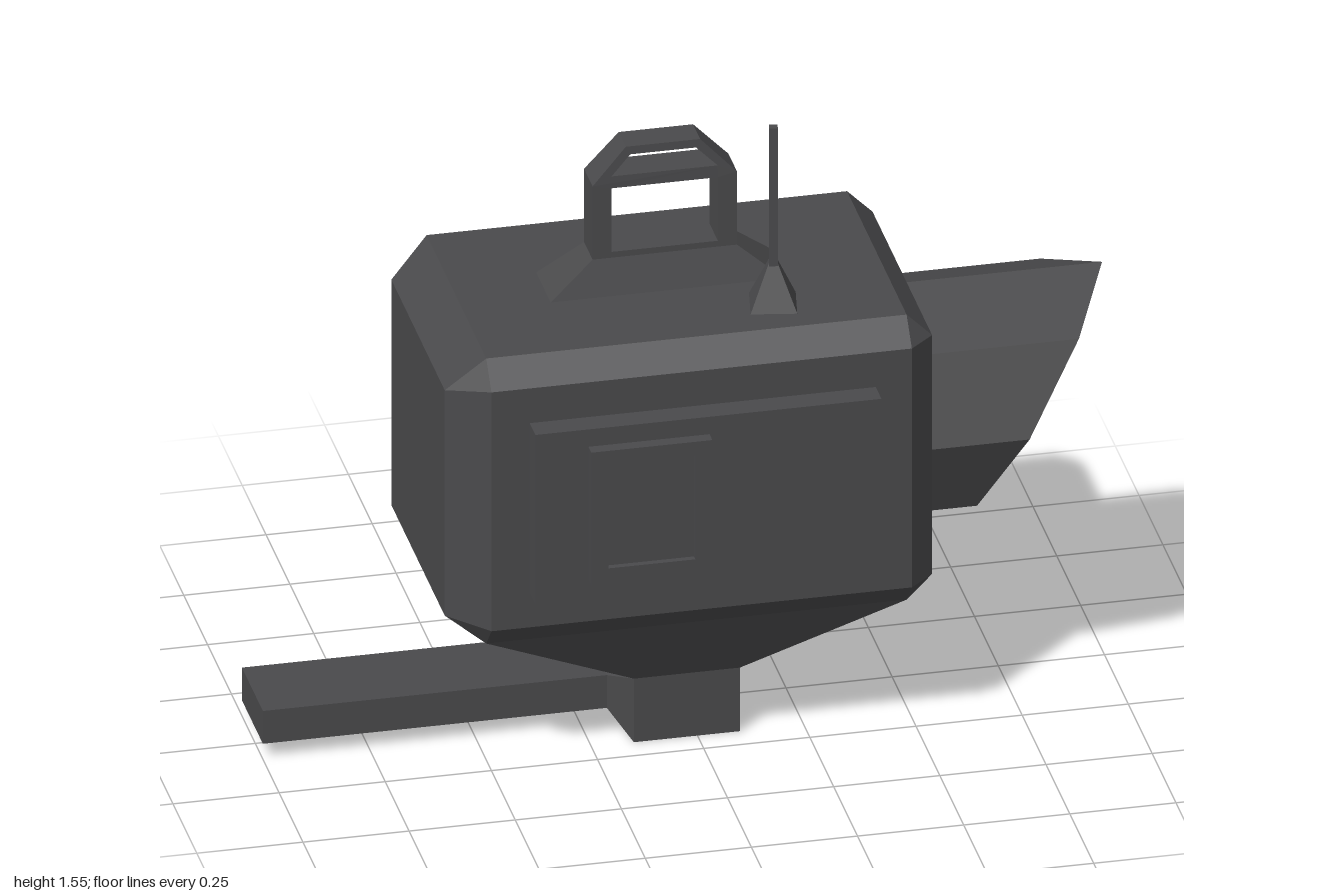
import * as THREE from 'three';
import { ConvexGeometry } from 'three/addons/geometries/ConvexGeometry.js';

const V = (x, y, z) => new THREE.Vector3(x, y, z);

export function createModel() {
  const group = new THREE.Group();
  const material = new THREE.MeshStandardMaterial({ color: 0x4a4a4c, flatShading: true });

  const add = (name, geometry) => {
    const mesh = new THREE.Mesh(geometry, material);
    mesh.name = name;
    group.add(mesh);
    return mesh;
  };

  // Flat polygons, each split into a triangle fan
  const fromPolygons = (polygons) => {
    const points = [];
    for (const p of polygons)
      for (let i = 1; i < p.length - 1; i++) points.push(p[0], p[i], p[i + 1]);
    const geometry = new THREE.BufferGeometry().setFromPoints(points);
    geometry.computeVertexNormals();
    return geometry;
  };

  // Turns a polygon so that it faces away from (or towards) a centre
  const orient = (p, centre, outward = true) => {
    const normal = p[1].clone().sub(p[0]).cross(p[2].clone().sub(p[0]));
    const mid = p.reduce((s, q) => s.add(q), V(0, 0, 0)).divideScalar(p.length);
    return (normal.dot(mid.sub(centre)) > 0) === outward ? p : [...p].reverse();
  };

  const box = (name, [x0, x1], [y0, y1], [z0, z1]) => {
    const g = new THREE.BoxGeometry(x1 - x0, y1 - y0, z1 - z0);
    return add(name, g.translate((x0 + x1) / 2, (y0 + y1) / 2, (z0 + z1) / 2));
  };

  // Corners of a horizontal rectangle, or of one facing x
  const rectY = (y, [x0, x1], [z0, z1]) => [V(x0, y, z0), V(x1, y, z0), V(x1, y, z1), V(x0, y, z1)];
  const rectX = (x, [y0, y1], [z0, z1]) => [V(x, y0, z0), V(x, y1, z0), V(x, y1, z1), V(x, y0, z1)];
  const rectZ = (z, [x0, x1], [y0, y1]) => [V(x0, y0, z), V(x1, y0, z), V(x1, y1, z), V(x0, y1, z)];
  const frustum = (name, a, b) => add(name, new ConvexGeometry([...a, ...b]));

  const plate = (outline, holes, z0, z1) => {
    const to2 = (list) => list.map(([x, y]) => new THREE.Vector2(x, y));
    const shape = new THREE.Shape(to2(outline));
    for (const h of holes) shape.holes.push(new THREE.Path(to2(h)));
    return new THREE.ExtrudeGeometry(shape, { depth: z1 - z0, bevelEnabled: false }).translate(0, 0, z0);
  };
  const rect2 = ([x0, x1], [y0, y1]) => [[x0, y0], [x1, y0], [x1, y1], [x0, y1]];

  // Bevelled body with a deep opening in the back
  const outer = [[-0.61, 0.53], [0.35, 1.09], [-0.4, 0.34]];
  const inner = [[-0.52, 0.47], [0.41, 1.03], [-0.34, 0.285]];
  const leftFace = [null, [0.415, 1.0], [-0.31, 0.25]];
  const corner = (axis, s) => {
    const c = [0, 1, 2].map((k) => {
      if (k === axis) return outer[k][s[k]];
      return axis === 0 && s[0] === 0 ? leftFace[k][s[k]] : inner[k][s[k]];
    });
    return V(...c);
  };
  const signs = (a, sa, b, sb, c, sc) => {
    const s = [0, 0, 0];
    s[a] = sa; s[b] = sb; s[c] = sc;
    return s;
  };
  const centre = V(-0.04, 0.7, -0.03);
  const shell = [];
  for (let a = 0; a < 3; a++) {
    const b = (a + 1) % 3, c = (a + 2) % 3;
    for (const sa of [0, 1]) {
      const isBack = a === 2 && sa === 0;
      if (!isBack)
        shell.push([[0, 0], [1, 0], [1, 1], [0, 1]].map(([u, v]) => corner(a, signs(a, sa, b, u, c, v))));
      for (const sb of [0, 1]) {
        const s0 = signs(a, sa, b, sb, c, 0), s1 = signs(a, sa, b, sb, c, 1);
        shell.push([corner(a, s0), corner(b, s0), corner(b, s1), corner(a, s1)]);
      }
    }
  }
  for (let i = 0; i < 8; i++) {
    const s = [i & 1, (i >> 1) & 1, (i >> 2) & 1];
    shell.push([corner(0, s), corner(1, s), corner(2, s)]);
  }
  const holeX = [-0.355, 0.315], holeY = [0.565, 0.875], holeDepth = -0.04;
  const backRim = rectZ(-0.4, inner[0], inner[1]);
  const holeRim = rectZ(-0.4, holeX, holeY);
  const holeEnd = rectZ(holeDepth, holeX, holeY);
  const recess = [holeEnd];
  for (let i = 0; i < 4; i++) {
    const j = (i + 1) % 4;
    shell.push([backRim[i], backRim[j], holeRim[j], holeRim[i]]);
    recess.push([holeRim[i], holeRim[j], holeEnd[j], holeEnd[i]]);
  }
  const recessCentre = V(-0.02, 0.72, -0.22);
  add('body', fromPolygons(shell.map((p) => orient(p, centre))));
  add('backRecess', fromPolygons(recess.map((p) => orient(p, recessCentre, false))));
  add('backFrame', plate(rect2([-0.4, 0.36], [0.52, 0.92]), [rect2(holeX, holeY)], -0.435, -0.4));

  // Front panel and small framed hatch
  box('frontPanel', [-0.43, 0.385], [0.5, 0.94], [0.33, 0.4]);
  add('hatchFrame', plate(rect2([-0.305, -0.02], [0.55, 0.895]),
    [rect2([-0.265, -0.06], [0.59, 0.86])], 0.4, 0.43));
  box('hatchPane', [-0.265, -0.06], [0.59, 0.86], [0.39, 0.415]);

  // Hopper, neck and side arm
  const neckX = [-0.15, 0.1], neckZ = [-0.23, 0.185];
  frustum('hopper', rectY(0.35, inner[0], inner[2]), rectY(0.165, neckX, neckZ));
  box('neck', neckX, [0, 0.165], neckZ);
  frustum('armSocket', rectX(-0.15, [0, 0.165], neckZ), rectX(-0.19, [0.04, 0.125], [-0.14, 0.08]));
  box('arm', [-1, -0.19], [0.04, 0.125], [-0.14, 0.08]);

  // Eight-sided hood with a slanted mouth and a shallow lens
  const mouthX = [1.0, 0.9, 0.765, 0.66, 0.66];
  const ring = (radius, xAt) => Array.from({ length: 8 }, (_, i) => {
    const t = (i * Math.PI) / 4;
    return V(xAt(Math.min(i, 8 - i)), 0.72 + radius * Math.cos(t), -0.025 + radius * Math.sin(t));
  });
  const loft = (rings) => {
    const quads = [];
    for (let r = 0; r < rings.length - 1; r++)
      for (let i = 0; i < 8; i++) {
        const j = (i + 1) % 8;
        quads.push([rings[r][i], rings[r][j], rings[r + 1][j], rings[r + 1][i]]);
      }
    return fromPolygons(quads);
  };
  add('hood', loft([
    ring(0.287, () => 0.52), ring(0.287, (k) => mouthX[k]),
    ring(0.25, (k) => mouthX[k] - (k === 0 ? 0.02 : 0)), ring(0.245, () => 0.58),
  ]));
  add('lens', loft([ring(0.245, () => 0.58), ring(0.16, () => 0.595), ring(0.07, () => 0.603),
    ring(0.0005, () => 0.605)]));

  // Carrying handle: flared foot and pierced arch, narrowing at the top
  frustum('handleFoot', rectY(1.09, [-0.315, 0.235], [-0.105, 0.048]), rectY(1.175, [-0.21, 0.13], [-0.07, 0.02]));
  const arch = plate(
    [[-0.21, 1.17], [0.13, 1.17], [0.13, 1.365], [0.045, 1.455], [-0.13, 1.455], [-0.21, 1.365]],
    [rect2([-0.165, 0.085], [1.19, 1.355]), [[-0.165, 1.385], [0.085, 1.385], [0.035, 1.435], [-0.12, 1.435]]],
    -0.07, 0.02);
  const pos = arch.attributes.position;
  for (let i = 0; i < pos.count; i++) {
    const k = 1 - 0.17 * Math.max(0, (pos.getY(i) - 1.365) / 0.09);
    pos.setZ(i, -0.025 + (pos.getZ(i) + 0.025) * k);
  }
  arch.computeVertexNormals();
  add('handle', arch);

  // Antenna on a twisted pyramid base
  const base = add('antennaBase', new THREE.CylinderGeometry(0.014, 0.076, 0.11, 4));
  base.position.set(0.183, 1.145, 0.163);
  base.rotation.y = 0.6;
  const rod = add('antennaRod', new THREE.CylinderGeometry(0.014, 0.014, 0.36, 4));
  rod.position.set(0.183, 1.37, 0.166);
  rod.rotation.y = 0.6;

  return group;
}
